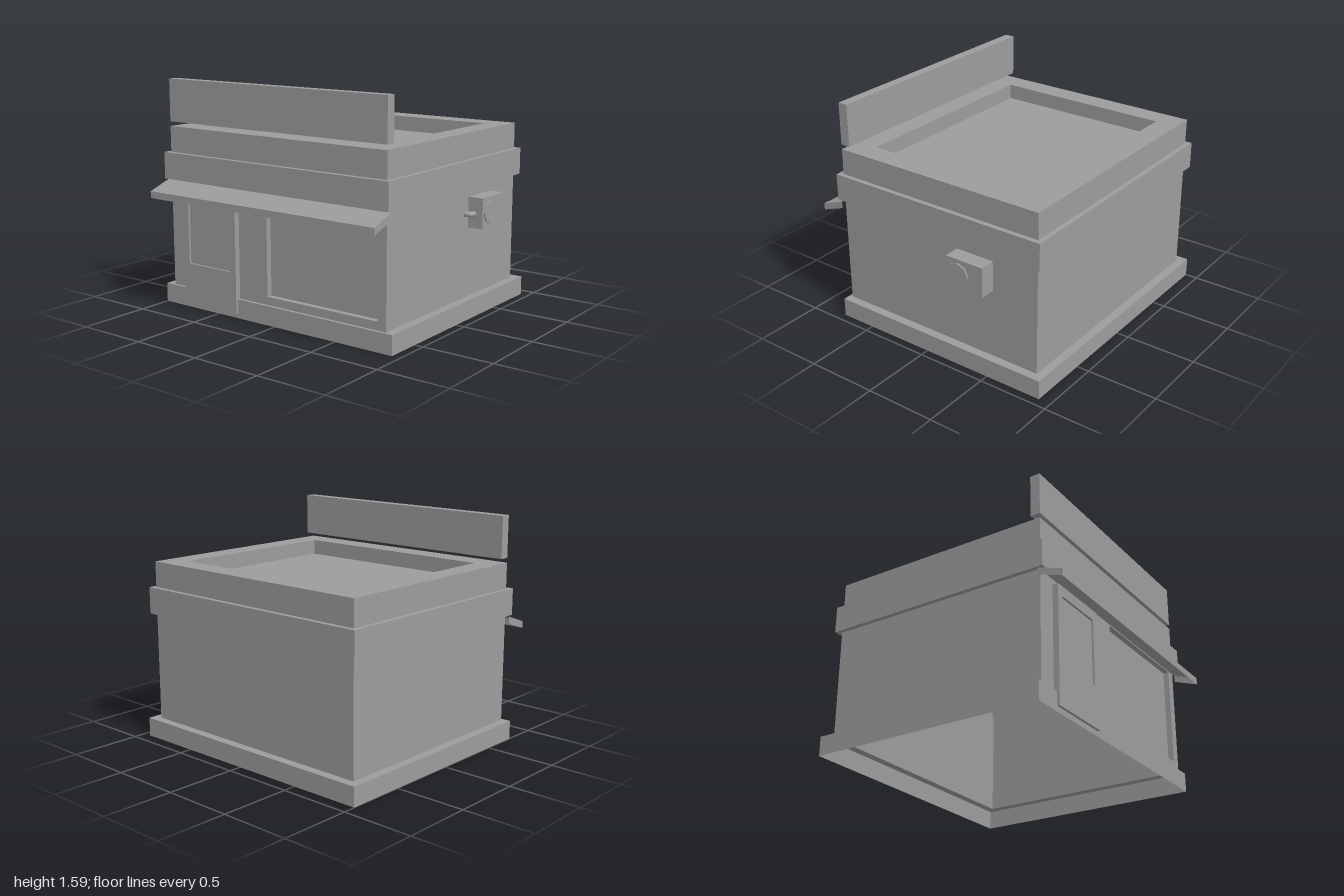
import * as THREE from 'three';

const flat = new THREE.MeshStandardMaterial({ color: 0x9c9c9c, flatShading: true, side: THREE.DoubleSide });
const smooth = new THREE.MeshStandardMaterial({ color: 0x9c9c9c });

// Four corners at height y, anticlockwise seen from above; yInner lifts the x1 side
const flatRing = (y, x0, x1, z0, z1, yInner = y) =>
  [[x0, y, z1], [x1, yInner, z1], [x1, yInner, z0], [x0, y, z0]];

// Four corners in a plane of constant x, anticlockwise seen from the shopfront (-x) side
const uprightRing = (x, y0, y1, z0, z1) =>
  [[x, y0, z0], [x, y0, z1], [x, y1, z1], [x, y1, z0]];

// Joins successive rings with quads and caps the last one; skip(ring, side) leaves a quad out
function loft(rings, skip = () => false) {
  const points = [];
  const quad = (a, b, c, d) => points.push(...a, ...b, ...c, ...a, ...c, ...d);
  for (let r = 0; r < rings.length - 1; r++) {
    for (let s = 0; s < 4; s++) {
      if (skip(r, s)) continue;
      const t = (s + 1) % 4;
      quad(rings[r][s], rings[r][t], rings[r + 1][t], rings[r + 1][s]);
    }
  }
  quad(...rings[rings.length - 1]);
  const geometry = new THREE.BufferGeometry();
  geometry.setAttribute('position', new THREE.Float32BufferAttribute(points, 3));
  geometry.computeVertexNormals();
  return geometry;
}

function boxBetween(x0, x1, y0, y1, z0, z1) {
  return new THREE.BoxGeometry(x1 - x0, y1 - y0, z1 - z0)
    .translate((x0 + x1) / 2, (y0 + y1) / 2, (z0 + z1) / 2);
}

export function createModel() {
  const model = new THREE.Group();
  model.name = 'shop';
  const add = (name, geometry, material = flat) => {
    const mesh = new THREE.Mesh(geometry, material);
    mesh.name = name;
    model.add(mesh);
  };

  const base = [-0.757, 0.913, -1, 0.94];
  const wall = [-0.735, 0.853, -0.94, 0.88];
  const band = [-0.77, 0.887, -0.973, 0.913];
  const roof = [-0.575, 0.693, -0.783, 0.72];
  const plinthTop = 0.133;
  const wallTop = 0.895;

  // Hollow building, open below: plinth, walls, band, parapet and sunken roof
  add('buildingShell', loft([
    flatRing(0, ...base), flatRing(plinthTop, ...base),
    flatRing(plinthTop, ...wall), flatRing(wallTop, ...wall),
    flatRing(wallTop, ...band), flatRing(1.082, ...band),
    flatRing(1.082, ...wall), flatRing(1.262, ...wall),
    flatRing(1.262, ...roof), flatRing(1.155, ...roof),
  ], (ring, side) => ring === 2 && side === 3));

  // Shopfront wall with a doorway and a window opening
  const door = [0.037, 0.85, -0.8, -0.32];
  const pane = [0.19, 0.88, -0.075, 0.815];
  const [, doorTop, doorZ0, doorZ1] = door;
  const [paneY0, paneY1, paneZ0, paneZ1] = pane;
  const front = new THREE.Shape()
    .moveTo(wall[2], plinthTop).lineTo(doorZ0, plinthTop).lineTo(doorZ0, doorTop)
    .lineTo(doorZ1, doorTop).lineTo(doorZ1, plinthTop).lineTo(wall[3], plinthTop)
    .lineTo(wall[3], wallTop).lineTo(wall[2], wallTop);
  front.holes.push(new THREE.Path()
    .moveTo(paneZ0, paneY0).lineTo(paneZ1, paneY0).lineTo(paneZ1, paneY1).lineTo(paneZ0, paneY1));
  add('shopfrontWall', new THREE.ShapeGeometry(front)
    .rotateY(-Math.PI / 2).translate(wall[0], 0, 0));

  // Window reveal and pane
  add('shopWindow', loft([uprightRing(-0.735, ...pane), uprightRing(-0.695, ...pane)]));

  // Door slab with a sunken glass panel
  const glass = [0.32, 0.78, -0.75, -0.37];
  add('door', loft([
    uprightRing(-0.735, ...door), uprightRing(-0.775, ...door),
    uprightRing(-0.775, ...glass), uprightRing(-0.76, ...glass),
  ]));

  // Sloping awning with a lip and ends, open underneath and at the wall
  const awning = [-0.91, -0.735, -0.973, 0.913];
  add('awning', loft([
    flatRing(0.778, ...awning, 0.84), flatRing(0.826, ...awning, 0.888),
  ], (ring, side) => side === 1));

  // Blank sign board above the parapet
  add('signBoard', boxBetween(-0.735, -0.665, 1.295, 1.59, -0.94, 0.88));

  // Meter on the side wall: case, dial and bent pipe
  add('meterCase', boxBetween(0.23, 0.513, 0.617, 0.827, 0.88, 0.99));
  add('meterDial', new THREE.CylinderGeometry(0.08, 0.08, 0.03, 8)
    .rotateX(Math.PI / 2).translate(0.325, 0.722, 0.985));
  const bend = new THREE.QuadraticBezierCurve3(
    new THREE.Vector3(0.19, 0.715, 0.875),
    new THREE.Vector3(0.19, 0.715, 0.925),
    new THREE.Vector3(0.24, 0.715, 0.925));
  add('meterPipe', new THREE.TubeGeometry(bend, 6, 0.02, 10), smooth);

  return model;
}
